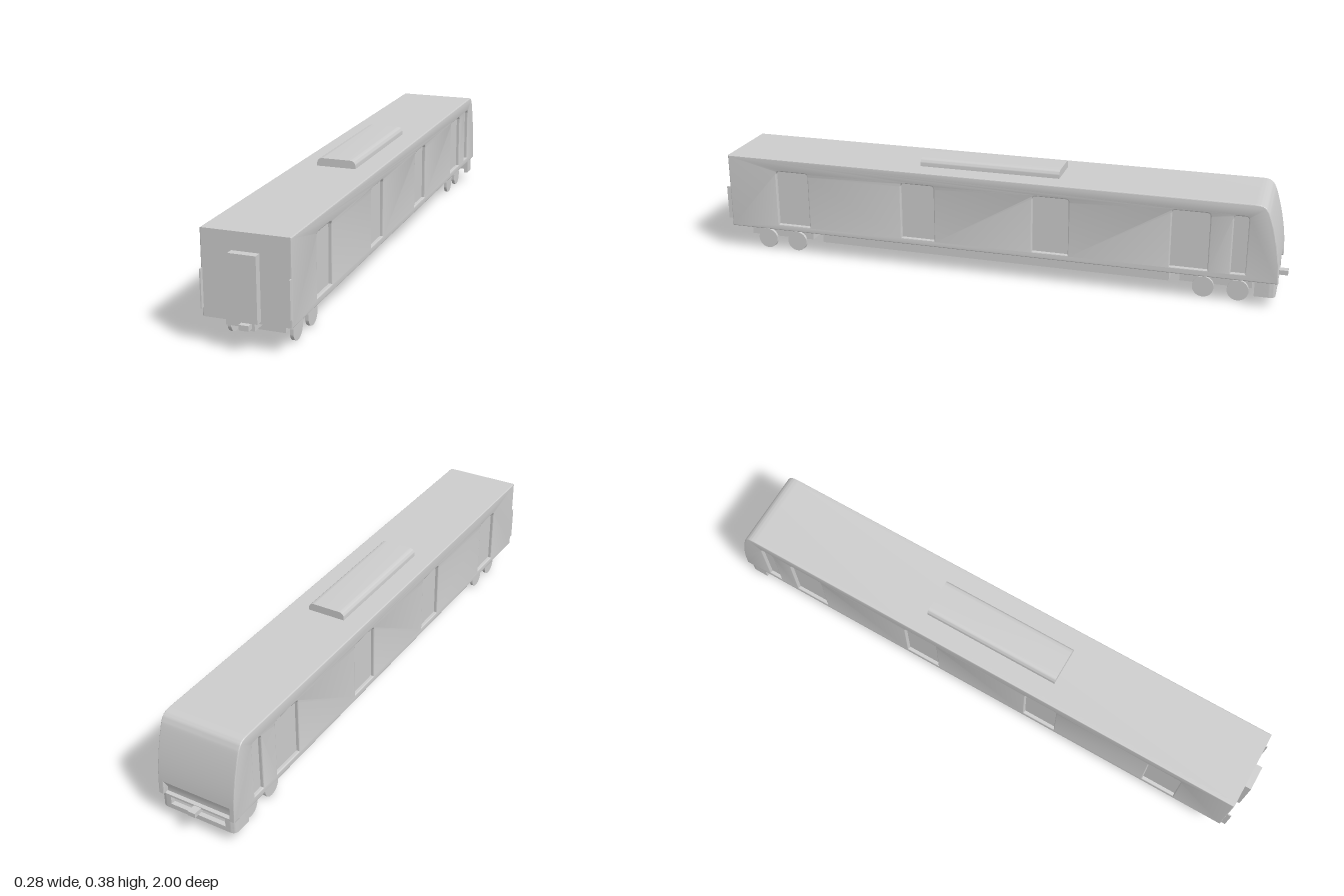
import * as THREE from 'three';
import { toCreasedNormals } from 'three/addons/utils/BufferGeometryUtils.js';

const material = new THREE.MeshStandardMaterial({ color: 0xcccccc });

export function createModel() {
  const model = new THREE.Group();

  function add(name, geometry, x = 0, y = 0, z = 0) {
    const mesh = new THREE.Mesh(geometry, material);
    mesh.name = name;
    mesh.position.set(x, y, z);
    model.add(mesh);
    return mesh;
  }

  // Box given by its limits on each axis
  function block(name, x0, x1, y0, y1, z0, z1) {
    add(name, new THREE.BoxGeometry(x1 - x0, y1 - y0, z1 - z0), (x0 + x1) / 2, (y0 + y1) / 2, (z0 + z1) / 2);
  }

  // Side profile drawn in (z, y); the cab end is curved at -z
  function bodyProfile(chin) {
    const s = new THREE.Shape();
    s.moveTo(0.975, 0.087);
    s.lineTo(0.975, 0.355);
    s.lineTo(-0.885, 0.355);
    s.bezierCurveTo(-0.915, 0.355, -0.925, 0.345, -0.935, 0.318);
    s.bezierCurveTo(-0.95, 0.275, -0.969, 0.2, -0.973, 0.135);
    if (chin) {
      s.lineTo(-0.955, 0.105);
      s.lineTo(-0.955, 0.087);
    } else {
      s.lineTo(-0.975, 0.087);
    }
    s.closePath();
    return s;
  }

  // Extrudes a (z, y) shape sideways, centred on x = 0
  function extrudeAcross(shape, width, bevel = 0) {
    const g = new THREE.ExtrudeGeometry(shape, {
      depth: width - 2 * bevel, curveSegments: 12, bevelEnabled: bevel > 0,
      bevelThickness: bevel, bevelSize: bevel, bevelOffset: -bevel, bevelSegments: 3,
    });
    g.translate(0, 0, bevel - width / 2);
    g.rotateY(-Math.PI / 2);
    return toCreasedNormals(g, 0.6);
  }

  // Body core with an undercut chin at the cab end
  add('bodyCore', extrudeAcross(bodyProfile(true), 0.256));

  // Side walls with recessed doors, mirrored
  const doors = [[0.67, 0.79], [0.2, 0.32], [-0.275, -0.15], [-0.745, -0.62], [-0.868, -0.82]];
  const wall = bodyProfile(false);
  for (const [z0, z1] of doors) {
    const hole = new THREE.Path();
    const r = 0.012, y0 = 0.11, y1 = 0.31;
    hole.moveTo(z0, y0);
    hole.lineTo(z1, y0);
    hole.lineTo(z1, y1 - r);
    hole.quadraticCurveTo(z1, y1, z1 - r, y1);
    hole.lineTo(z0 + r, y1);
    hole.quadraticCurveTo(z0, y1, z0, y1 - r);
    hole.closePath();
    wall.holes.push(hole);
  }
  const wallGeometry = extrudeAcross(wall, 0.02, 0.004);
  add('leftWall', wallGeometry, 0.13);
  add('rightWall', wallGeometry, -0.13);

  // Roof unit with rounded shoulders
  const pod = new THREE.Shape();
  pod.moveTo(-0.067, 0.35);
  pod.lineTo(0.067, 0.35);
  pod.lineTo(0.067, 0.362);
  pod.quadraticCurveTo(0.067, 0.382, 0.047, 0.382);
  pod.lineTo(-0.047, 0.382);
  pod.quadraticCurveTo(-0.067, 0.382, -0.067, 0.362);
  pod.closePath();
  const podGeometry = new THREE.ExtrudeGeometry(pod, { depth: 0.495, bevelEnabled: false, curveSegments: 8 });
  add('roofUnit', toCreasedNormals(podGeometry, 0.6), 0, 0, -0.225);

  // Gangway, its side plates and the front coupler
  block('gangway', -0.043, 0.043, 0.095, 0.298, 0.96, 1.0);
  for (const s of [-1, 1]) {
    block('endPlate', s * 0.137 - 0.002, s * 0.137 + 0.002, 0.115, 0.235, 0.965, 0.988);
  }
  block('frontCouplerMount', -0.023, 0.023, 0.062, 0.088, 0.91, 0.975);
  block('frontCoupler', -0.015, 0.015, 0.07, 0.087, 0.97, 1.0);

  // Underfloor equipment and bogies
  block('underfloorCase', -0.095, 0.095, 0.04, 0.09, -0.615, 0.64);
  const wheelGeometry = toCreasedNormals(new THREE.CylinderGeometry(0.036, 0.036, 0.011, 32).rotateZ(Math.PI / 2), 0.6);
  for (const [z0, z1, axles] of [[0.68, 0.92, [0.74, 0.855]], [-0.89, -0.65, [-0.73, -0.845]]]) {
    block('bogieFrame', -0.094, 0.094, 0.045, 0.09, z0, z1);
    for (const z of axles) {
      for (const s of [-1, 1]) add('wheel', wheelGeometry, s * 0.099, 0.036, z);
    }
  }

  // Half of the apron in plan, from x = inner round the corner and forward
  function apronHalf(side, inner, y0, y1) {
    const s = new THREE.Shape();
    s.moveTo(side * inner, 0.969);
    s.lineTo(side * 0.116, 0.969);
    s.quadraticCurveTo(side * 0.136, 0.969, side * 0.136, 0.945);
    s.lineTo(side * 0.136, 0.9);
    s.lineTo(side * 0.122, 0.9);
    s.lineTo(side * 0.122, 0.945);
    s.lineTo(side * 0.112, 0.953);
    s.lineTo(side * inner, 0.953);
    s.closePath();
    const g = new THREE.ExtrudeGeometry(s, { depth: y1 - y0, bevelEnabled: false, curveSegments: 8 });
    g.rotateX(-Math.PI / 2);
    add('apron', toCreasedNormals(g, 0.6), 0, y0, 0);
  }
  for (const side of [-1, 1]) {
    apronHalf(side, 0, 0.036, 0.053);
    apronHalf(side, 0.1, 0.053, 0.081);
    apronHalf(side, 0, 0.081, 0.088);
  }

  // Rear coupler in the apron opening
  block('rearCouplerMount', -0.025, 0.025, 0.06, 0.088, -0.94, -0.89);
  block('rearCoupler', -0.013, 0.013, 0.07, 0.086, -1.0, -0.93);

  return model;
}
